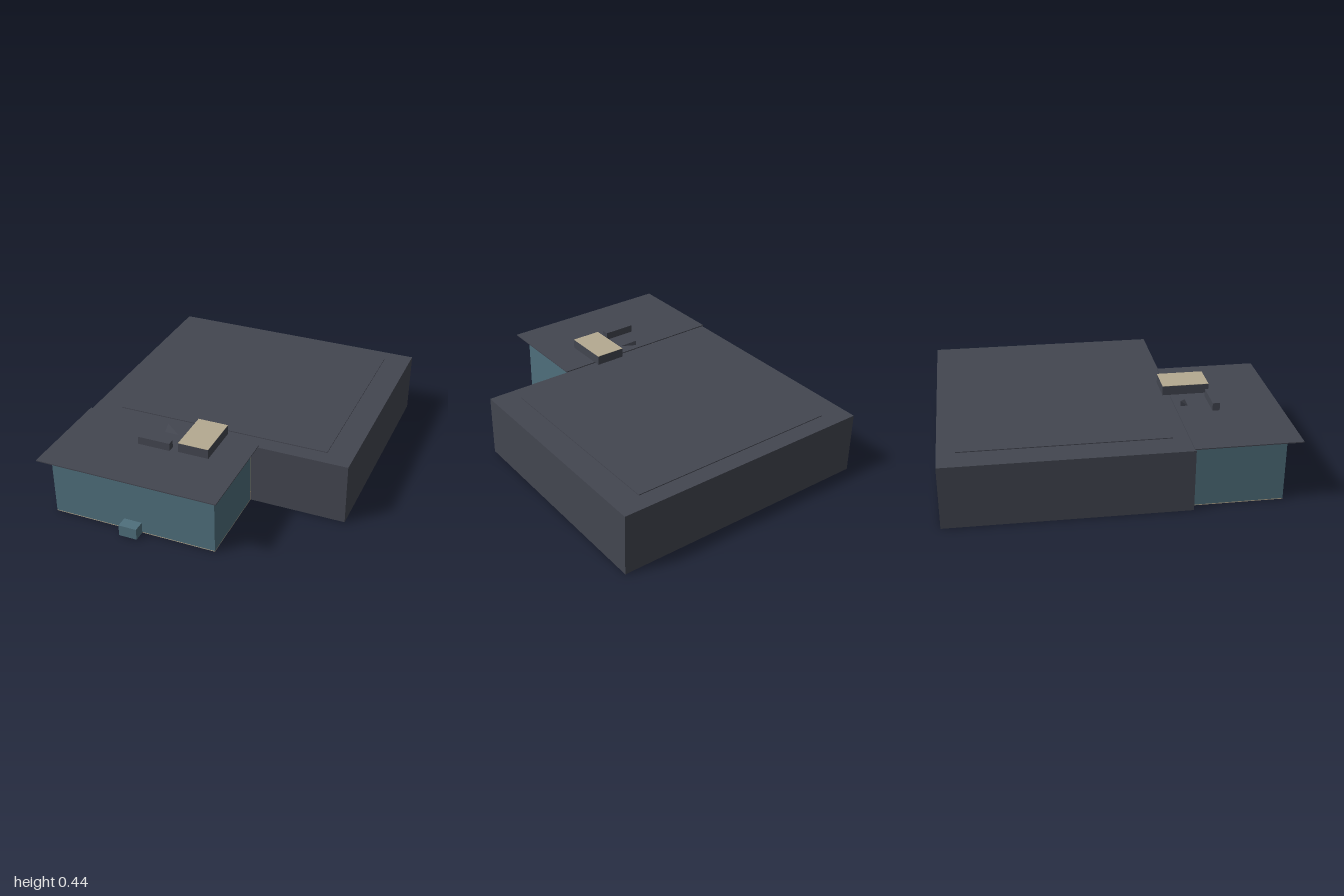
import * as THREE from 'three';
import { ConvexGeometry } from 'three/addons/geometries/ConvexGeometry.js';

const slate = new THREE.MeshStandardMaterial({ color: 0x434650 });
slate.name = 'slate';
const teal = new THREE.MeshStandardMaterial({ color: 0x4f6f7c });
teal.name = 'teal';
const sand = new THREE.MeshStandardMaterial({ color: 0xb5aa91 });
sand.name = 'sand';

// Box given by its lower and upper limits on each axis
function box(name, material, [x0, x1], [y0, y1], [z0, z1]) {
  const mesh = new THREE.Mesh(new THREE.BoxGeometry(x1 - x0, y1 - y0, z1 - z0), material);
  mesh.position.set((x0 + x1) / 2, (y0 + y1) / 2, (z0 + z1) / 2);
  mesh.name = name;
  return mesh;
}

export function createModel() {
  const group = new THREE.Group();
  group.name = 'building';

  // Main hall, with a very slightly skewed plan
  const plan = new THREE.Shape([[-0.812, -0.397], [0.803, -0.397], [0.81, 0.997], [-0.805, 1]]
    .map(([x, y]) => new THREE.Vector2(x, y)));
  const hallGeometry = new THREE.ExtrudeGeometry(plan, { depth: 0.374, bevelEnabled: false });
  hallGeometry.rotateX(-Math.PI / 2);
  const hall = new THREE.Mesh(hallGeometry, slate);
  hall.name = 'mainHall';
  group.add(hall);
  group.add(box('hallRoofPanel', slate, [-0.65, 0.65], [0.374, 0.379], [-0.895, 0.3]));

  // Front wing: walls, floor, joint to the hall and overhanging roof
  group.add(box('wingWalls', teal, [-0.765, 0.228], [0.006, 0.38], [0.405, 0.92]));
  group.add(box('wingFloor', sand, [-0.765, 0.228], [0.001, 0.006], [0.398, 0.92]));
  group.add(box('wingBackJoint', sand, [-0.765, 0.228], [0.006, 0.376], [0.397, 0.405]));
  group.add(box('wingRoof', slate, [-0.812, 0.272], [0.38, 0.386], [0.388, 1]));
  group.add(box('frontStep', teal, [-0.325, -0.216], [0.001, 0.069], [0.92, 0.99]));

  // Roof fittings
  group.add(box('roofDuct', slate, [-0.366, -0.169], [0.386, 0.433], [0.592, 0.635]));
  group.add(box('roofUnit', slate, [-0.12, 0.064], [0.386, 0.443], [0.345, 0.625]));
  group.add(box('roofUnitLid', sand, [-0.12, 0.064], [0.443, 0.445], [0.345, 0.625]));

  // Small pointed vent
  const vent = new THREE.Mesh(new ConvexGeometry([
    new THREE.Vector3(-0.28, 0.386, 0.42),
    new THREE.Vector3(-0.28, 0.386, 0.465),
    new THREE.Vector3(-0.194, 0.386, 0.465),
    new THREE.Vector3(-0.28, 0.418, 0.42),
  ]), slate);
  vent.name = 'roofVent';
  group.add(vent);

  return group;
}
